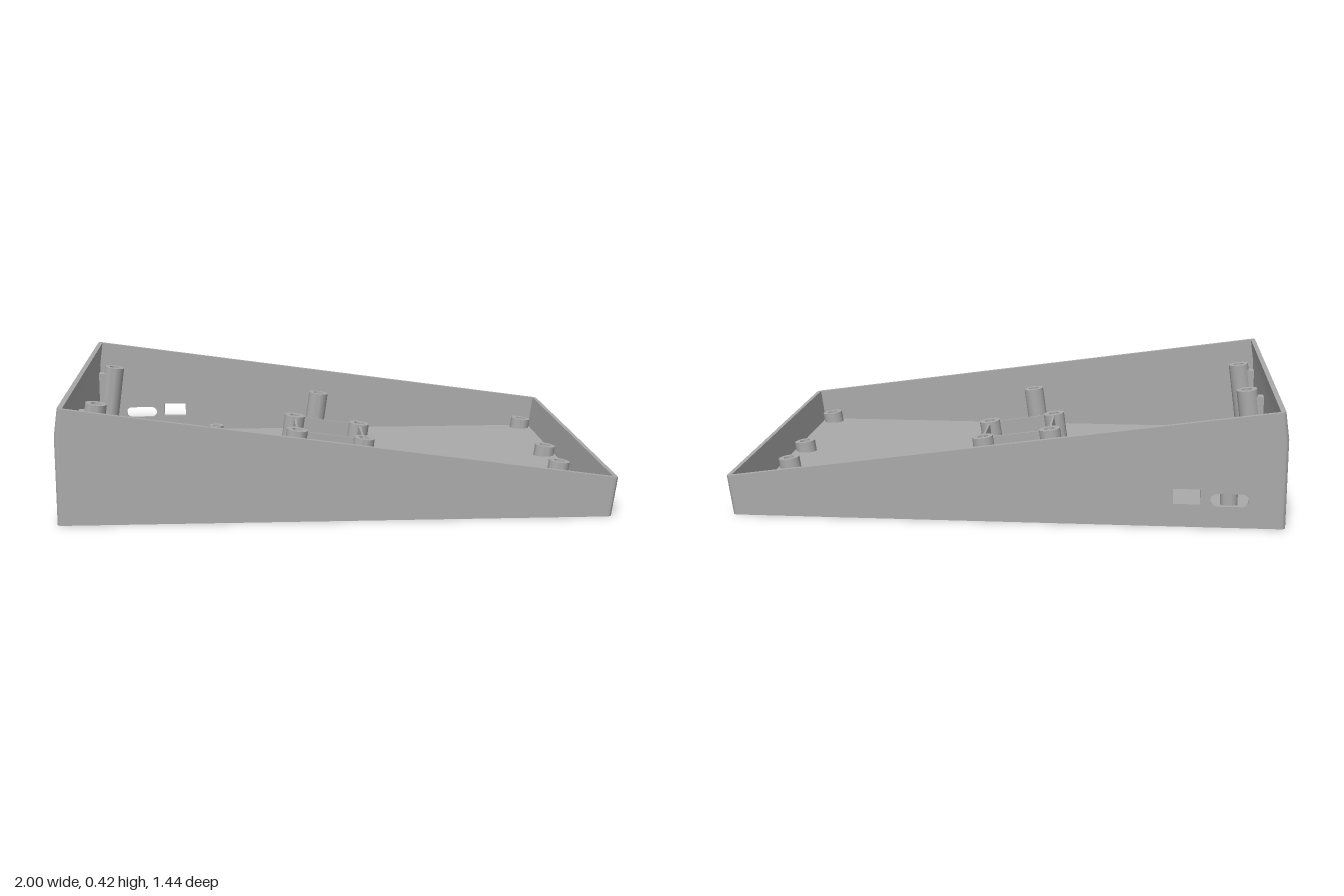
import * as THREE from 'three';
import { toCreasedNormals } from 'three/addons/utils/BufferGeometryUtils.js';

const SLOPE = 0.14;              // fall of the rim towards +x
const TILT = -Math.atan(SLOPE);  // parts square to the rim lean by this
const T = 0.018, FLOOR = 0.018, Z = 0.722, BREAK = 0.32;

// Point where a wall line, leaning from height b upwards, meets the rim plane
function rimPoint(x, b) {
  const y = (0.283 - SLOPE * (x - SLOPE * b)) / (1 + SLOPE * SLOPE);
  return [x + SLOPE * (y - b), y];
}

export function createModel() {
  const model = new THREE.Group();
  model.name = 'slopedEnclosure';
  const grey = new THREE.MeshStandardMaterial({ color: 0xaaaaaa });
  grey.name = 'plastic grey';

  function add(name, geometry, x = 0, y = 0, z = 0, parent = model) {
    const mesh = new THREE.Mesh(geometry, grey);
    mesh.name = name;
    mesh.position.set(x, y, z);
    parent.add(mesh);
    return mesh;
  }
  const polygon = pts => new THREE.Shape(pts.map(p => new THREE.Vector2(...p)));
  const plate = (shape, depth) => new THREE.ExtrudeGeometry(shape, { depth, bevelEnabled: false, curveSegments: 10 });

  // Floor
  add('floor', new THREE.BoxGeometry(1.944, FLOOR, 2 * (Z - T)), -0.01, FLOOR / 2, 0);

  // End walls with rounded outer corners, leaning square to the rim
  function endWall(side) {
    const r = T * 0.95, s = new THREE.Shape();
    s.moveTo(-1 + T, -Z);
    s.lineTo(-1 + T, Z);
    s.lineTo(-1 + r, Z);
    s.absarc(-1 + r, Z - r, r, Math.PI / 2, Math.PI, false);
    s.lineTo(-1, -Z + r);
    s.absarc(-1 + r, -Z + r, r, Math.PI, Math.PI * 1.5, false);
    s.closePath();
    const g = new THREE.ExtrudeGeometry(s, { depth: 1, steps: 2, bevelEnabled: false, curveSegments: 6 });
    g.rotateX(-Math.PI / 2);
    if (side > 0) g.rotateY(Math.PI);
    const p = g.attributes.position;
    for (let i = 0; i < p.count; i++) {
      const level = p.getY(i), b = side < 0 ? BREAK : 0;
      const x = p.getX(i) - (side > 0 ? 0.02 : 0);
      const [tx, ty] = rimPoint(x, b);
      if (level > 0.9) p.setXY(i, tx, ty);
      else if (level > 0.1) p.setXY(i, side < 0 ? x : (x + tx) / 2, side < 0 ? b : ty / 2);
      else p.setXY(i, x, 0);
    }
    return toCreasedNormals(g, 0.6);
  }
  add('tallEndWall', endWall(-1));
  add('lowEndWall', endWall(1));

  // Front and back walls; the back one has two port openings
  const xl = -1 + T, xr = 0.98 - T;
  const sideShape = () => polygon([[xl, 0], [xr, 0], rimPoint(xr, 0), rimPoint(xl, BREAK), [xl, BREAK]]);
  add('frontWall', plate(sideShape(), T), 0, 0, Z - T);
  const back = sideShape();
  const slot = new THREE.Path(), r = 0.023;
  slot.absarc(-0.847, 0.1, r, Math.PI / 2, Math.PI * 1.5, false);
  slot.absarc(-0.758, 0.1, r, -Math.PI / 2, Math.PI / 2, false);
  slot.closePath();
  const port = new THREE.Path([[-0.7, 0.083], [-0.605, 0.083], [-0.605, 0.138], [-0.7, 0.138]]
    .map(p => new THREE.Vector2(...p)));
  port.closePath();
  back.holes.push(slot, port);
  add('backWall', plate(back, T), 0, 0, -Z);

  // Hollow post, origin at its top
  function post(name, x, y, z, R, hole, tilt) {
    const len = (y - 0.01) / Math.cos(tilt), bottom = -len + 0.025;
    const pts = [[R, -len], [R, 0], [hole, 0], [hole, bottom], [0, bottom]].map(p => new THREE.Vector2(...p));
    const mesh = add(name, toCreasedNormals(new THREE.LatheGeometry(pts, 32), 0.6), x, y, z);
    mesh.rotation.z = tilt;
  }

  // Lid screw posts, tops parallel to the rim
  const columns = [[-0.914, [-0.665, 0.13, 0.66]], [-0.005, [-0.665, 0.66]], [0.92, [-0.665, -0.138, 0.13, 0.66]]];
  for (const [x, rows] of columns) {
    for (const z of rows) {
      post('screwPost', x, 0.188 - SLOPE * x, z, 0.042, 0.021, TILT);
      // Rib tying the tall posts to the end wall
      if (x < -0.5) add('postRib', new THREE.BoxGeometry(0.05, 0.28, 0.05), -0.963, 0.15, z);
    }
  }

  // Low vertical standoffs for the circuit board
  for (const [x, z] of [[-0.815, -0.495], [-0.465, -0.558], [-0.815, -0.238], [-0.465, -0.238]])
    post('boardStandoff', x, 0.068, z, 0.032, 0.014, 0);

  // Central mount: four leaning posts joined by thin walls
  const mx = [-0.13, 0.135], mz = [-0.138, 0.128], W = 0.008;
  const mountTop = x => 0.183 - SLOPE * x;
  for (const x of mx) {
    for (const z of mz) post('mountPost', x, mountTop(x), z, 0.042, 0.021, TILT);
    const h = mountTop(x) - 0.015;
    const g = new THREE.BoxGeometry(W, h, mz[1] - mz[0]).translate(0, -h / 2 - 0.005, 0);
    add('mountCrossWall', g, x, mountTop(x), (mz[0] + mz[1]) / 2).rotation.z = TILT;
  }
  for (const z of mz) {
    const foot = x => [x - SLOPE * mountTop(x), 0.01];
    const s = polygon([foot(mx[0]), foot(mx[1]), [mx[1], mountTop(mx[1]) - 0.005], [mx[0], mountTop(mx[0]) - 0.005]]);
    add('mountSideWall', plate(s, W), 0, 0, z - W / 2);
  }
  return model;
}
